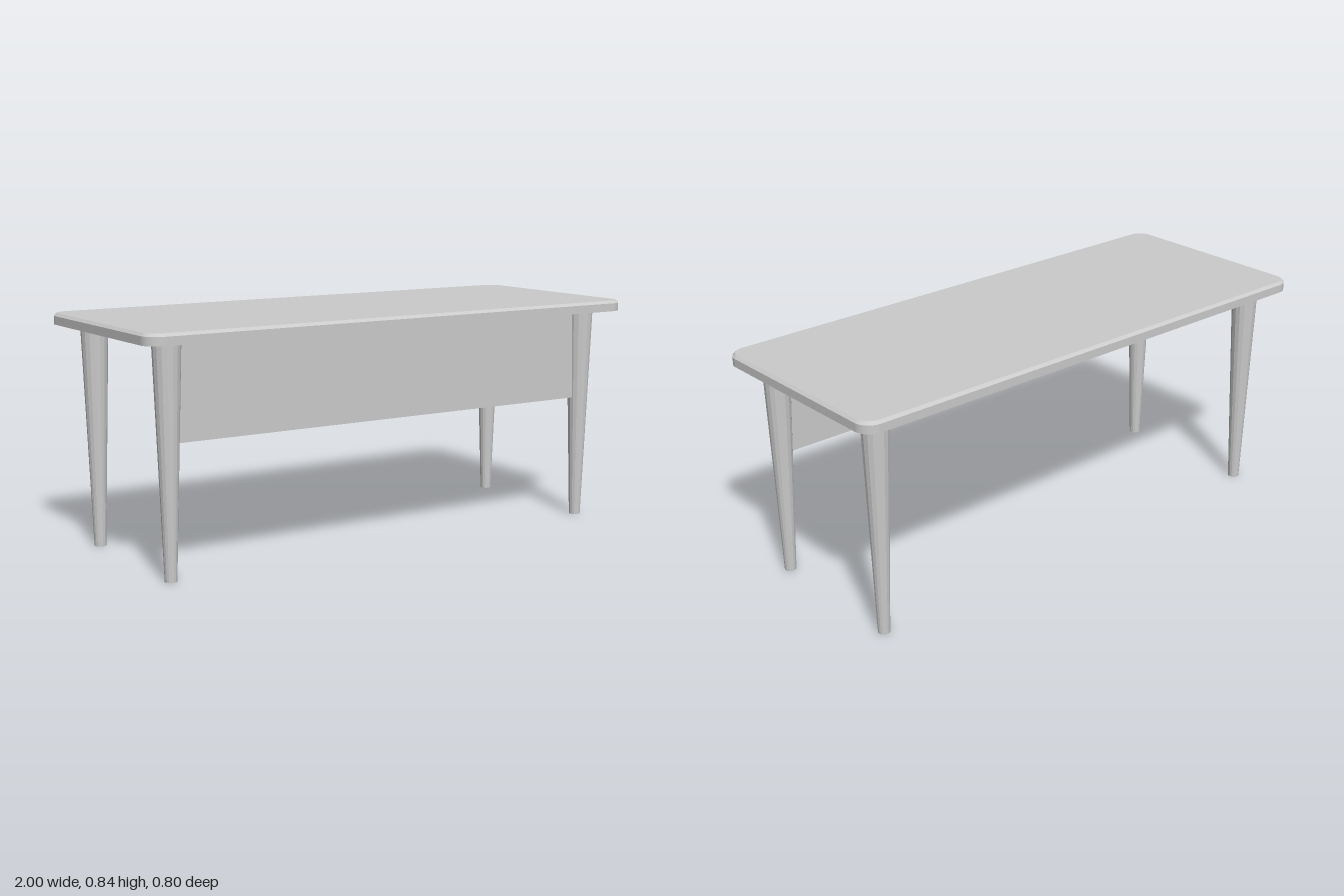
import * as THREE from 'three';

const material = new THREE.MeshStandardMaterial({ color: 0xcccccc });
const flatMaterial = new THREE.MeshStandardMaterial({ color: 0xcccccc, flatShading: true });

function addMesh(group, name, geometry, mat, x, y, z) {
  const mesh = new THREE.Mesh(geometry, mat);
  mesh.name = name;
  mesh.position.set(x, y, z);
  group.add(mesh);
}

// Rounded slab lying flat, chamfered along its upper edge only
function tabletopGeometry(width, depth, height, radius, chamfer) {
  const x = width / 2 - radius, y = depth / 2 - radius;
  const shape = new THREE.Shape();
  shape.absarc(x, y, radius, 0, Math.PI / 2);
  shape.absarc(-x, y, radius, Math.PI / 2, Math.PI);
  shape.absarc(-x, -y, radius, Math.PI, Math.PI * 1.5);
  shape.absarc(x, -y, radius, Math.PI * 1.5, Math.PI * 2);
  const geometry = new THREE.ExtrudeGeometry(shape, {
    depth: height - chamfer, curveSegments: 6, bevelSegments: 1,
    bevelThickness: chamfer, bevelSize: chamfer, bevelOffset: -chamfer,
  });
  // Press the lower bevel flat so the underside has a square edge
  const pos = geometry.attributes.position;
  for (let i = 0; i < pos.count; i++) pos.setZ(i, Math.max(0, pos.getZ(i)));
  geometry.rotateX(-Math.PI / 2);
  geometry.computeVertexNormals();
  return geometry;
}

export function createModel() {
  const group = new THREE.Group();
  group.name = 'desk';

  addMesh(group, 'tabletop', tabletopGeometry(2, 0.8, 0.04, 0.06, 0.01), material, 0, 0.8, 0);

  // Four tapered legs
  const leg = new THREE.CylinderGeometry(0.049, 0.021, 0.8, 16);
  for (const [side, x] of [['Left', 0.88], ['Right', -0.88]]) {
    for (const [end, z] of [['front', 0.28], ['back', -0.28]]) {
      addMesh(group, `${end}${side}Leg`, leg, flatMaterial, x, 0.4, z);
    }
  }

  // Modesty panel between the front legs
  addMesh(group, 'frontPanel', new THREE.BoxGeometry(1.74, 0.337, 0.02), material, 0, 0.6315, 0.28);

  return group;
}
